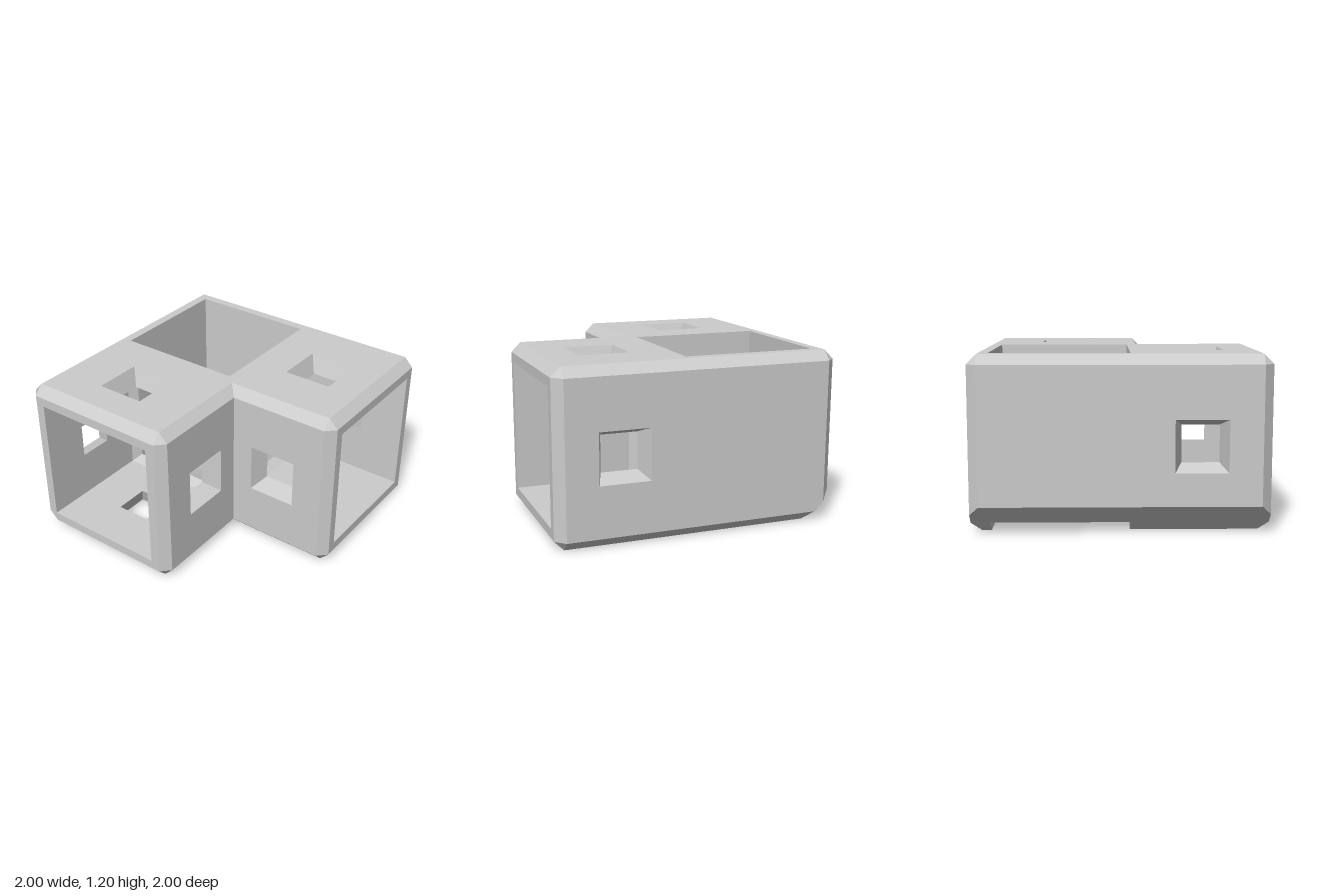
import * as THREE from 'three';

const D = 1 / 15;                 // bevel size; walls are 2 * D thick
const LO = -1 + 2 * D, HI = D;    // inner limits of the corner room
const Y0 = 2 * D, Y1 = 1.2 - 2 * D; // floor and ceiling of the arms
const ARM = 8 / 15, MID = -0.4, CY = 0.6; // arm centre, cross centre, mid height
const W_OUT = 0.177, W_IN = 0.127; // window half sizes
const T_OUT = 7 * D, T_IN = 0.42;  // doorway half sizes

// Planar polygon with holes, turned so that it faces along dir
function face(out, pts, dir, holes = []) {
  const abs = dir.map(Math.abs);
  const drop = abs.indexOf(Math.max(...abs));
  const flat = (p) => new THREE.Vector2(...p.filter((_, i) => i !== drop));
  const tris = THREE.ShapeUtils.triangulateShape(pts.map(flat), holes.map((h) => h.map(flat)));
  const all = [pts, ...holes].flat().map((p) => new THREE.Vector3(...p));
  const d = new THREE.Vector3(...dir);
  for (const [i, j, k] of tris) {
    const [a, b, c] = [all[i], all[j], all[k]];
    const n = b.clone().sub(a).cross(c.clone().sub(a));
    for (const v of n.dot(d) < 0 ? [a, c, b] : [a, b, c]) out.push(v.x, v.y, v.z);
  }
}

// Rectangle at a fixed value on one axis; u and v are ranges on the other two, in x, y, z order
function rect(axis, at, [u0, u1], [v0, v1]) {
  return [[u0, v0], [u1, v0], [u1, v1], [u0, v1]].map((p) => {
    const q = [...p];
    q.splice(axis, 0, at);
    return q;
  });
}
const square = (axis, at, cu, cv, h) => rect(axis, at, [cu - h, cu + h], [cv - h, cv + h]);
const unit = (axis, sign) => [0, 1, 2].map((i) => (i === axis ? sign : 0));

// Tapering sides of an opening between two squares
function funnel(out, a, b, map = (p) => p) {
  const centre = [0, 1, 2].map((k) => (a[0][k] + a[2][k]) / 2);
  const axis = [0, 1, 2].find((k) => a.every((p) => p[k] === a[0][k]));
  for (let i = 0; i < 4; i++) {
    const j = (i + 1) % 4;
    const dir = centre.map((c, k) => (k === axis ? 0 : c - (a[i][k] + a[j][k]) / 2));
    face(out, [a[i], a[j], b[j], b[i]].map(map), map(dir));
  }
}

export function createModel() {
  const parts = { outerShell: [], bevels: [], windowReveals: [], armInterior: [], doorways: [], cornerRoom: [] };
  const { outerShell, bevels, windowReveals, armInterior, doorways, cornerRoom } = parts;
  const same = (p) => p;
  const swap = ([x, y, z]) => [z, y, x];

  // The two arms: the front one, and the same with x and z swapped
  for (const map of [same, swap]) {
    const front = map === same;
    const put = (out, pts, dir, holes = []) => face(out, pts.map(map), map(dir), holes.map((h) => h.map(map)));

    // Four walls, each pierced by a tapering window: axis, outer position, inner position, outward sign
    for (const [axis, outer, inner, sign] of [[0, -1, LO, -1], [0, 0.2, HI, 1], [1, 0, Y0, -1], [1, 1.2, Y1, 1]]) {
      const c = axis === 0 ? [CY, ARM] : [MID, ARM];
      const big = square(axis, outer, ...c, W_OUT), small = square(axis, inner, ...c, W_IN);
      funnel(windowReveals, big, small, map);
      put(armInterior, rect(axis, inner, axis === 0 ? [Y0, Y1] : [LO, HI], [2 * D, 1]), unit(axis, -sign), [small]);
      // Outer side faces; the long one also closes the corner room
      if (axis === 0) {
        const long = sign < 0;
        let pts = rect(0, outer, [D, 1.2 - D], [long ? -1 + D : 0.2, 1 - D]);
        if (long && front) pts = rect(0, outer, [3 * D, 1.2 - D], [-1 + D, 1 - D]);
        if (long && !front) pts.splice(0, 1, [-1, D, LO], [-1, Y0, -1 + D]);
        // keep the loop running round the cut lower corner
        if (long && !front) pts = [pts[0], pts[1], pts[2], pts[3], pts[4]];
        put(outerShell, pts, unit(0, sign), [big]);
      }
    }

    // Open end frame
    const end = rect(2, 1, [-1 + D, 2 * D], [D, 1.2 - D]);
    if (front) end.splice(0, 1, [-1 + D, Y0, 1], [LO, D, 1]);
    put(outerShell, end, [0, 0, 1], [rect(2, 1, [LO, HI], [Y0, Y1])]);

    // Tapered doorway into the corner room, and the room wall around it
    const door = square(2, HI, MID, CY, T_IN);
    funnel(doorways, square(2, 2 * D, MID, CY, T_OUT), door, map);
    const wall = rect(2, HI, [LO, HI], [0, 1.2]);
    if (front) wall.splice(0, 1, [LO, D, HI], [-0.8, 0, HI]);
    put(cornerRoom, wall, [0, 0, -1], [door]);
  }

  // Closed walls of the corner room
  face(cornerRoom, rect(0, LO, [D, 1.2], [LO, HI]), [1, 0, 0]);
  face(cornerRoom, [[LO, D, LO], [-0.8, 0, LO], [HI, 0, LO], [HI, 1.2, LO], [LO, 1.2, LO]], [0, 0, 1]);

  // Plan corners, their inset copies, and the outward direction of each edge (x, z)
  const plan = [[-1, -1], [1, -1], [1, 0.2], [0.2, 0.2], [0.2, 1], [-1, 1]];
  const a = 1 - D, b = 2 * D;
  const inset = [[-a, -a], [a, -a], [a, b], [b, b], [b, a], [-a, a]];
  const normals = [[0, -1], [1, 0], [0, 1], [1, 0], [0, 1], [-1, 0]];
  const onFace = (i, e) => (i === 3 ? plan[3] : [inset[i][0] + normals[e][0] * D, inset[i][1] + normals[e][1] * D]);

  // Top and bottom plates
  const plateWindows = (y) => [square(1, y, MID, ARM, W_OUT), square(1, y, ARM, MID, W_OUT)];
  face(outerShell, inset.map(([x, z]) => [x, 1.2, z]), [0, 1, 0],
    [rect(1, 1.2, [LO, HI], [LO, HI]), ...plateWindows(1.2)]);
  const bottom = [[-0.8, a], [b, a], [b, b], [a, b], [a, -a], [-0.8, -a], [-0.8, LO], [HI, LO], [HI, HI], [-0.8, HI]];
  face(outerShell, bottom.map(([x, z]) => [x, 0, z]), [0, -1, 0], plateWindows(0));

  // Bevels round the top and bottom rims, shortened where the wide chamfer cuts them
  for (let i = 0; i < 6; i++) {
    const j = (i + 1) % 6, [nx, nz] = normals[i];
    for (const up of [1, -1]) {
      if (up < 0 && i === 5) continue;
      const yCap = up > 0 ? 1.2 : 0, ySide = up > 0 ? 1.2 - D : D;
      const at = ([x, z], y) => [Math.max(x, -0.8 - y), y, z];
      face(bevels, [at(inset[i], yCap), at(inset[j], yCap), at(onFace(j, i), ySide), at(onFace(i, i), ySide)], [nx, up, nz]);
    }
    if (i === 3) continue;

    // Upright bevels and the small triangles at their ends
    const h = (i + 5) % 6, p = onFace(i, h), q = onFace(i, i);
    const dir = [normals[h][0] + nx, 0, normals[h][1] + nz];
    const low = ([x, z]) => [x, Math.max(D, -0.8 - x), z];
    const high = ([x, z]) => [x, 1.2 - D, z];
    face(bevels, [low(p), low(q), high(q), high(p)], dir);
    face(bevels, [high(p), high(q), [inset[i][0], 1.2, inset[i][1]]], [dir[0], 1, dir[2]]);
    if (plan[i][0] > 0) face(bevels, [low(p), low(q), [inset[i][0], 0, inset[i][1]]], [dir[0], -1, dir[2]]);
  }

  // Wide chamfer along the lower right edge, notched by the open floor
  const chamfer = [[3 * D, a], [2 * D, 1], [D, 1], [0, a], [0, HI], [D, HI], [D, LO], [0, LO], [0, -a], [D, -1], [2 * D, -1], [3 * D, -a]];
  face(bevels, chamfer.map(([y, z]) => [-0.8 - y, y, z]), [-1, -1, 0]);

  const group = new THREE.Group();
  group.name = 'hollowCornerBlock';
  const material = new THREE.MeshStandardMaterial({ color: 0xcccccc, flatShading: true });
  for (const [name, positions] of Object.entries(parts)) {
    const geometry = new THREE.BufferGeometry();
    geometry.setAttribute('position', new THREE.Float32BufferAttribute(positions, 3));
    geometry.computeVertexNormals();
    const mesh = new THREE.Mesh(geometry, material);
    mesh.name = name;
    group.add(mesh);
  }
  return group;
}
